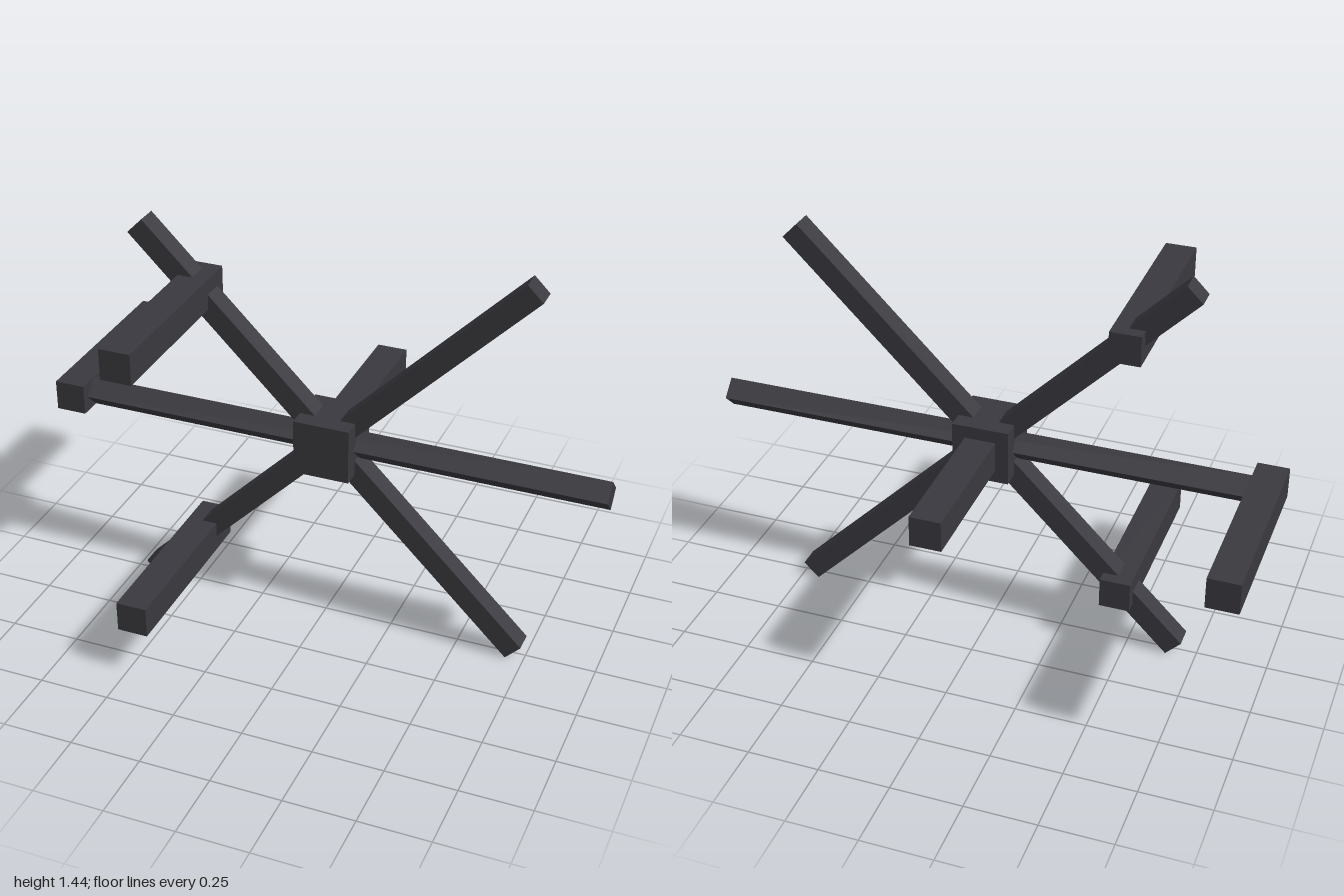
import * as THREE from 'three';

export function createModel() {
  const group = new THREE.Group();
  const darkGrey = new THREE.MeshStandardMaterial({ color: 0x3a393f });
  darkGrey.name = 'dark grey';

  const cx = 0.02, cy = 0.72; // hub centre

  function box(name, w, h, d, x, y, z) {
    const mesh = new THREE.Mesh(new THREE.BoxGeometry(w, h, d), darkGrey);
    mesh.name = name;
    mesh.position.set(x, y, z);
    group.add(mesh);
    return mesh;
  }

  // Central hub
  box('hub', 0.2, 0.2, 0.2, cx, cy, 0);

  // Three crossing bars; the level one is turned on edge
  const barLength = 1.96, bar = 0.0766;
  box('levelBar', barLength, bar, bar, cx, cy, 0).rotation.x = Math.PI / 4;
  for (const side of [-1, 1]) {
    box('diagonalBar', barLength, bar, bar, cx, cy, 0).rotation.z = side * Math.PI / 4;
  }

  // Square pegs, two pointing forward and two pointing back
  const peg = 0.109, pegLength = 0.686, pegZ = 0.262;
  for (const side of [-1, 1]) {
    box('frontPeg', peg, peg, pegLength, cx - 0.485, cy + side * 0.485, pegZ);
  }
  for (const x of [-0.945, cx]) {
    box('backPeg', peg, peg, pegLength, x, cy, -pegZ);
  }

  return group;
}
